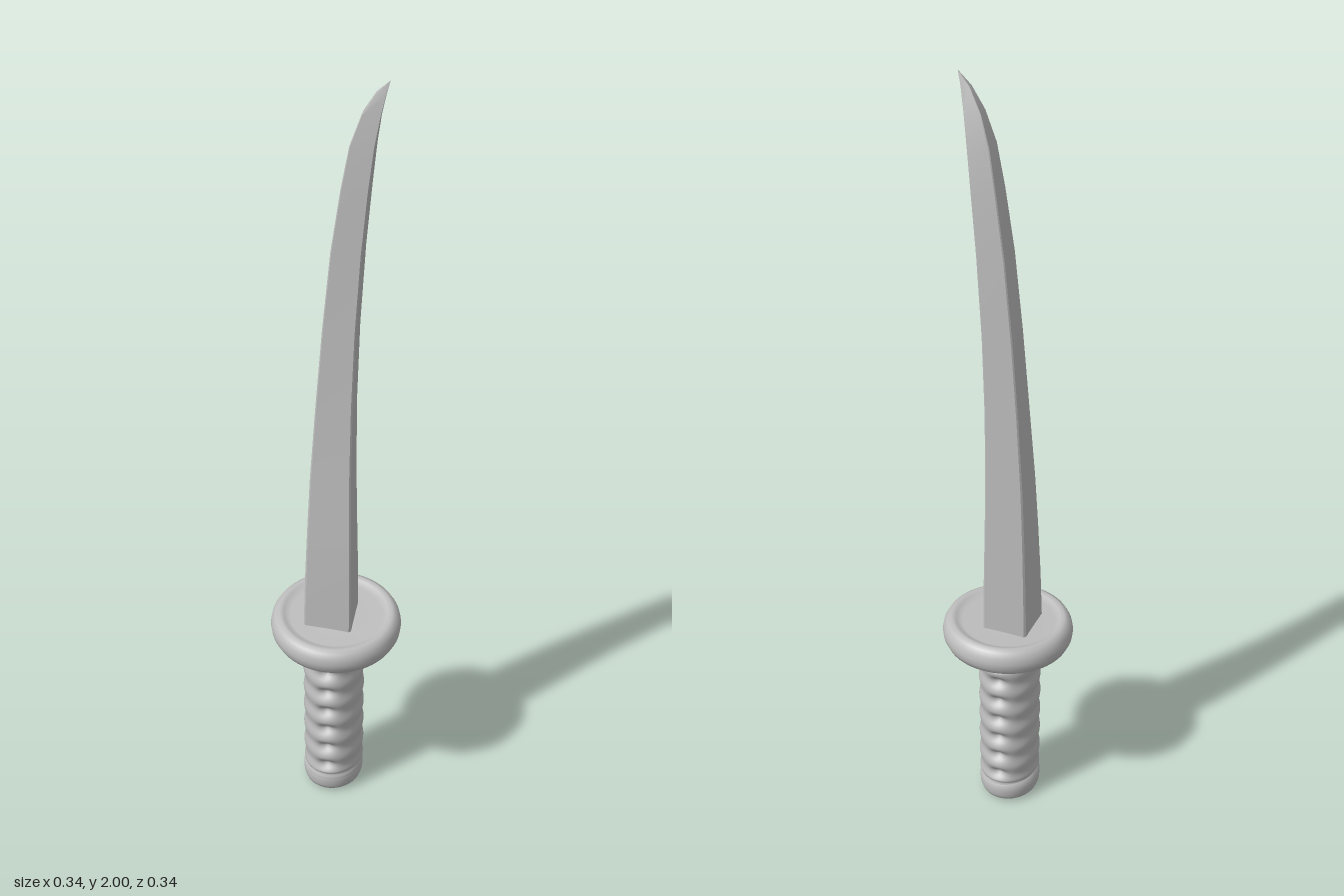
import * as THREE from 'three';
import { toCreasedNormals } from 'three/addons/utils/BufferGeometryUtils.js';

const grey = new THREE.MeshStandardMaterial({ color: 0xbebebe });
grey.name = 'plain grey';

// Skin a stack of closed rings (bottom to top, each turning from +x towards +z).
function loft(rings) {
  const n = rings[0].length, index = [];
  for (let j = 0; j < rings.length - 1; j++) {
    for (let i = 0; i < n; i++) {
      const a = j * n + i, b = j * n + (i + 1) % n;
      index.push(a, a + n, b, b, a + n, b + n);
    }
  }
  const geometry = new THREE.BufferGeometry();
  geometry.setAttribute('position', new THREE.Float32BufferAttribute(rings.flat(2), 3));
  geometry.setIndex(index);
  geometry.computeVertexNormals();
  return geometry;
}

function part(name, geometry) {
  const mesh = new THREE.Mesh(geometry, grey);
  mesh.name = name;
  return mesh;
}

// Curved blade: a slightly twisted four-sided section fitted to each height
function makeBlade() {
  // y, x min, x max, z min, z max
  const stations = [
    [0.53, -0.08, 0.062, -0.066, 0.073],
    [0.7, -0.075, 0.06, -0.062, 0.068],
    [0.85, -0.07, 0.056, -0.059, 0.059],
    [1.0, -0.064, 0.052, -0.057, 0.049],
    [1.2, -0.051, 0.051, -0.054, 0.037],
    [1.4, -0.035, 0.056, -0.052, 0.03],
    [1.6, -0.015, 0.067, -0.051, 0.024],
    [1.75, 0.008, 0.08, -0.047, 0.019],
    [1.85, 0.027, 0.091, -0.04, 0.014],
    [1.92, 0.053, 0.102, -0.028, 0.007],
    [1.97, 0.086, 0.112, -0.015, 0.001],
    [2.0, 0.119, 0.119, -0.006, -0.006],
  ];
  const corners = [[1, 0.75], [-0.75, 1], [-1, -0.75], [0.65, -1]];
  // Small bevel on each corner
  const section = corners.flatMap((c, i) => [corners[(i + 3) % 4], corners[(i + 1) % 4]]
    .map((o) => [c[0] + (o[0] - c[0]) * 0.04, c[1] + (o[1] - c[1]) * 0.04]));
  const rings = stations.map(([y, x0, x1, z0, z1]) => section.map(([u, v]) => [
    (x0 + x1) / 2 + u * (x1 - x0) / 2, y, (z0 + z1) / 2 + v * (z1 - z0) / 2,
  ]));
  return part('blade', toCreasedNormals(loft(rings), 0.6));
}

// Round guard with a raised rim, tilted a little
function makeGuard() {
  const profile = [
    [0, -0.032], [0.12, -0.034], [0.145, -0.038], [0.158, -0.03], [0.166, -0.014], [0.168, 0.002],
    [0.165, 0.018], [0.157, 0.032], [0.145, 0.038], [0.134, 0.035], [0.118, 0.026], [0, 0.032],
  ].map(([r, y]) => new THREE.Vector2(r, y));
  const guard = part('guard', new THREE.LatheGeometry(profile, 64));
  guard.position.y = 0.537;
  guard.rotation.set(0.06, 0, -0.025);
  return guard;
}

// Wrapped grip: cord ridges all round, with a row of hollows front and back
function makeGrip() {
  const sides = 72, pitch = 0.064, first = 0.1, rings = [];
  const bump = (d, w) => Math.exp(-(d * d) / (w * w));
  for (let j = 0; j <= 120; j++) {
    const y = 0.05 + 0.47 * j / 120;
    const ring = [];
    for (let i = 0; i < sides; i++) {
      const a = (i / sides) * Math.PI * 2;
      const fromFront = Math.abs(Math.atan2(Math.sin(a - 1.42), Math.cos(a - 1.42)));
      const off = Math.min(fromFront, Math.PI - fromFront);
      const phase = ((y - first) / pitch) * Math.PI * 2;
      let swell = 0;
      if (y > 0.07 && y < 0.46) {
        swell = -0.002 * Math.cos(phase + 0.5 * Math.sin(2 * a)) + 0.003 * bump(off, 0.45);
        for (let k = 0; k < 6; k++) {
          swell -= 0.017 * bump(off, 0.28) * bump(y - first - k * pitch, 0.016);
        }
      }
      swell -= 0.004 * bump(y - 0.066, 0.007);
      ring.push([-0.007 + (0.077 + swell) * Math.cos(a), y, -0.002 + (0.086 + swell) * Math.sin(a)]);
    }
    rings.push(ring);
  }
  return part('grip', loft(rings));
}

// Rounded end of the grip
function makePommel() {
  const rows = [[0, 0], [0.6, 0], [0.84, 0.003], [0.94, 0.01], [0.99, 0.022], [1.01, 0.04], [0.99, 0.056], [0.9, 0.064]];
  const rings = rows.map(([s, y]) => Array.from({ length: 48 }, (_, i) => {
    const a = (i / 48) * Math.PI * 2;
    return [-0.009 + 0.079 * s * Math.cos(a), y, -0.004 + 0.086 * s * Math.sin(a)];
  }));
  return part('pommel', loft(rings));
}

export function createModel() {
  const sword = new THREE.Group();
  sword.name = 'curved sword';
  sword.add(makeBlade(), makeGuard(), makeGrip(), makePommel());
  return sword;
}
